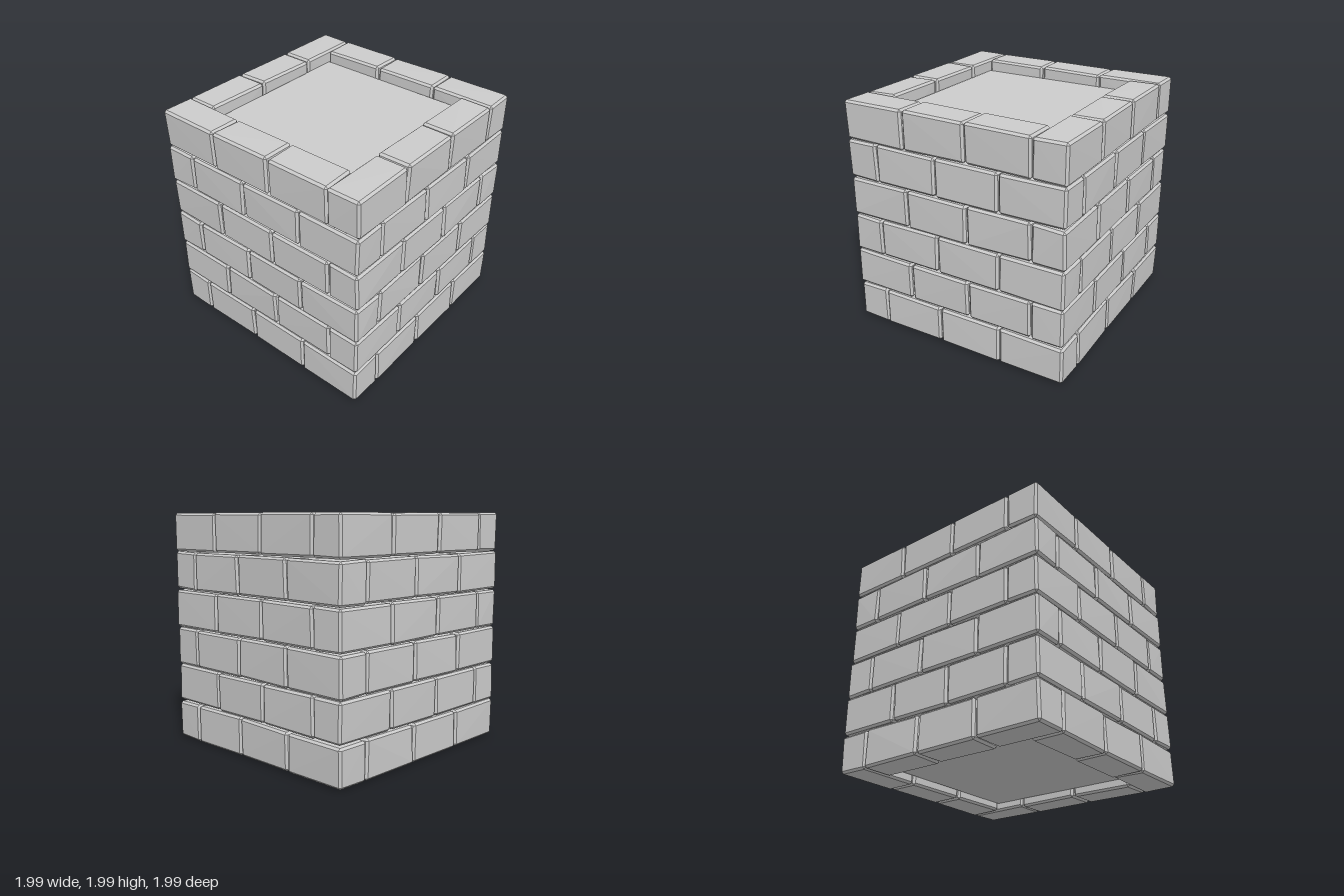
import * as THREE from 'three';
import { ConvexGeometry } from 'three/addons/geometries/ConvexGeometry.js';

const LENGTH = 0.56, HEIGHT = 0.322, DEPTH = 0.28, BEVEL = 0.018;
const COURSES = 6, PITCH = 0.3317;

// Small seeded generator, returns -1..1
let seed = 7;
function jitter(amount) {
  seed = (seed * 16807) % 2147483647;
  return (seed / 2147483647 * 2 - 1) * amount;
}

// Chamfered box: each slightly displaced corner is cut into three points
function brickGeometry() {
  const points = [];
  for (const sx of [-1, 1]) for (const sy of [-1, 1]) for (const sz of [-1, 1]) {
    const signs = [sx, sy, sz];
    const corner = [
      sx * LENGTH / 2 + jitter(0.005),
      sy * HEIGHT / 2 + jitter(0.005),
      sz * DEPTH / 2 + jitter(0.005),
    ];
    for (let axis = 0; axis < 3; axis++) {
      const p = corner.map((c, i) => (i === axis ? c : c - signs[i] * BEVEL));
      points.push(new THREE.Vector3(...p));
    }
  }
  return new ConvexGeometry(points);
}

export function createModel() {
  const group = new THREE.Group();
  group.name = 'brickPillar';
  const material = new THREE.MeshStandardMaterial({ color: 0xcccccc, flatShading: true });

  // Courses of pinwheel-laid bricks, mirrored on every other course
  for (let i = 0; i < COURSES; i++) {
    const course = new THREE.Group();
    course.name = `course${i + 1}`;
    course.position.y = 0.171 + i * PITCH;
    const mirror = i % 2 === 0 ? -1 : 1;
    for (let side = 0; side < 4; side++) {
      const wall = new THREE.Group();
      wall.name = 'wallSide';
      wall.rotation.y = side * Math.PI / 2;
      for (const x of [-0.71, -0.142, 0.426]) {
        const brick = new THREE.Mesh(brickGeometry(), material);
        brick.name = 'brick';
        brick.position.set(mirror * x, 0, 0.85);
        wall.add(brick);
      }
      course.add(wall);
    }
    group.add(course);
  }

  // Solid core, recessed at top and bottom
  const bottom = 0.08, top = 1.89;
  const core = new THREE.Mesh(new THREE.BoxGeometry(1.4, top - bottom, 1.4), material);
  core.name = 'core';
  core.position.y = (top + bottom) / 2;
  group.add(core);

  return group;
}
